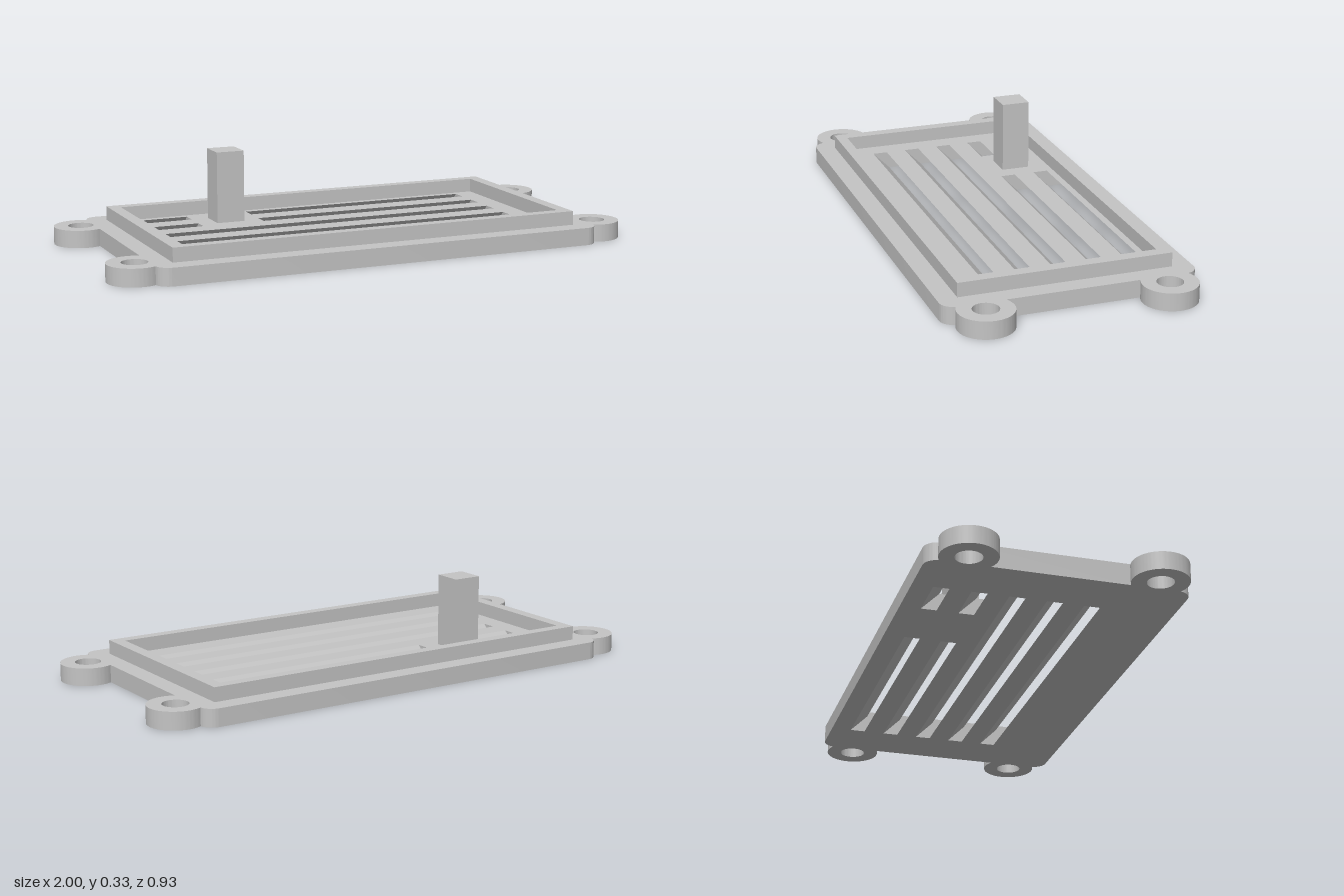
import * as THREE from 'three';
import { toCreasedNormals } from 'three/addons/utils/BufferGeometryUtils.js';

const T = 0.065;                    // plate thickness
const grey = new THREE.MeshStandardMaterial({ color: 0xc4c4c4 });
grey.name = 'lightGrey';

function addMesh(parent, name, geometry) {
  const mesh = new THREE.Mesh(geometry, grey);
  mesh.name = name;
  parent.add(mesh);
  return mesh;
}

// Closed rectangle in shape space
function rect(target, x0, y0, x1, y1) {
  target.moveTo(x0, y0);
  target.lineTo(x1, y0);
  target.lineTo(x1, y1);
  target.lineTo(x0, y1);
  target.closePath();
  return target;
}

// Extrude a plan shape (x, -z) upwards from height y
function slab(shape, y, height) {
  const g = new THREE.ExtrudeGeometry(shape, { depth: height, bevelEnabled: false, curveSegments: 32 });
  g.rotateX(-Math.PI / 2);
  g.translate(0, y, 0);
  return toCreasedNormals(g, 0.6);
}

// Extrude a (z, y) cross-section along x
function prism(points, x0, x1) {
  const shape = new THREE.Shape(points.map(([z, y]) => new THREE.Vector2(-z, y)));
  const g = new THREE.ExtrudeGeometry(shape, { depth: x1 - x0, bevelEnabled: false });
  g.rotateY(Math.PI / 2);
  g.translate(x0, 0, 0);
  return g;
}

export function createModel() {
  const model = new THREE.Group();
  model.name = 'ventCover';

  // Plate outline with four round mounting lugs and rounded corners
  const lugX = 0.9, lugZ = 0.331, cornerX = 0.804, cornerZ = 0.413, PI = Math.PI;
  const meet = 1.09;                // half angle of the lug arc hidden in the plate
  const outline = new THREE.Shape();
  outline.moveTo(0.854, -0.242);
  outline.absarc(lugX, lugZ, 0.1, meet - PI, PI - meet, false);
  outline.absarc(cornerX, cornerZ, 0.05, 0.15, PI / 2, false);
  outline.absarc(-cornerX, cornerZ, 0.05, PI / 2, PI - 0.15, false);
  outline.absarc(-lugX, lugZ, 0.1, meet, 2 * PI - meet, false);
  outline.absarc(-lugX, -lugZ, 0.1, meet, 2 * PI - meet, false);
  outline.absarc(-cornerX, -cornerZ, 0.05, PI + 0.15, 1.5 * PI, false);
  outline.absarc(cornerX, -cornerZ, 0.05, 1.5 * PI, 2 * PI - 0.15, false);
  outline.absarc(lugX, -lugZ, 0.1, meet - PI, PI - meet, false);
  for (const sx of [-1, 1]) for (const sz of [-1, 1]) {
    outline.holes.push(new THREE.Path().absarc(sx * lugX, sz * lugZ, 0.047, 0, 2 * PI, true));
  }

  // Window in the plate that the louvre slats fill
  const winX = 0.66, back = -0.42, front = 0.35;
  outline.holes.push(rect(new THREE.Path(), -winX, -front, winX, -back));
  addMesh(model, 'basePlate', slab(outline, 0, T));

  // Slats: the slots between them lean back at 45 degrees
  const slots = [0, 1, 2, 3, 4].map((i) => {
    const z = -0.296 + i * 0.133;
    return [z - 0.028, z + 0.028];
  });
  const louvres = new THREE.Group();
  louvres.name = 'louvres';
  model.add(louvres);
  for (let i = 0; i <= slots.length; i++) {
    const z0 = i === 0 ? back : slots[i - 1][1];
    const z1 = i === slots.length ? front : slots[i][0];
    const low0 = i === 0 ? back : z0 - T;
    const low1 = i === slots.length ? front : z1 - T;
    addMesh(louvres, 'slat', prism([[low0, 0], [low1, 0], [z1, T], [z0, T]], -winX, winX));
  }

  // Solid bridges across the two rear slots, beside the post
  for (const [z0, z1] of slots.slice(0, 2)) {
    addMesh(louvres, 'slotBridge', prism([[z0 - T, 0], [z1 - T, 0], [z1, T], [z0, T]], -0.487, -0.247));
  }

  // Raised rim
  const rim = rect(new THREE.Shape(), -0.783, -0.391, 0.783, 0.391);
  rim.holes.push(rect(new THREE.Path(), -0.738, -0.35, 0.738, 0.35));
  addMesh(model, 'rim', slab(rim, T, 0.052));

  // Square post
  const post = addMesh(model, 'post', new THREE.BoxGeometry(0.107, 0.333 - T, 0.107));
  post.position.set(-0.367, (0.333 + T) / 2, -0.218);

  return model;
}
